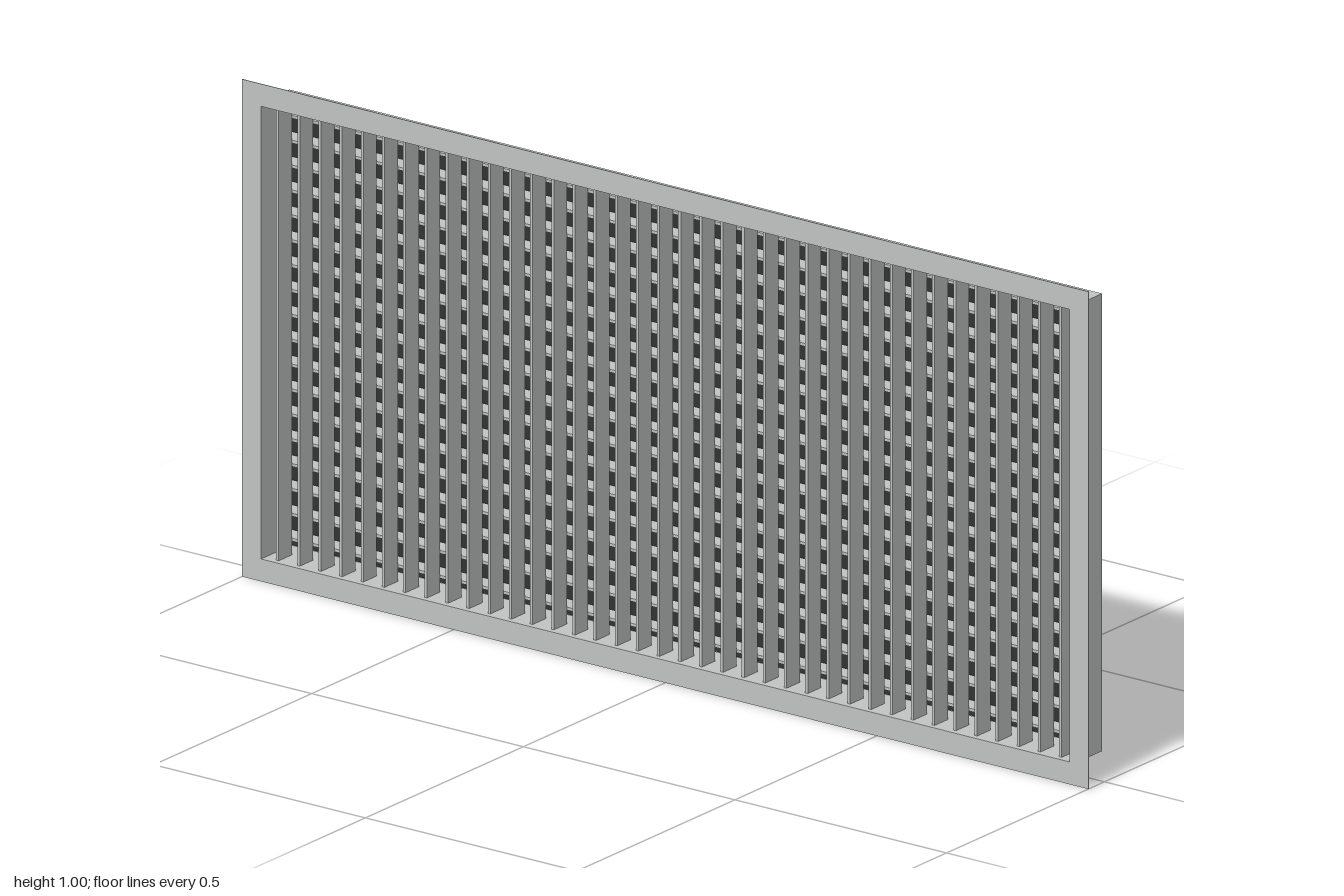
import * as THREE from 'three';

export function createModel() {
  const model = new THREE.Group();
  const metal = new THREE.MeshStandardMaterial({ color: 0xc0c4c2 });
  metal.name = 'light grey metal';
  const dark = new THREE.MeshStandardMaterial({ color: 0x333333 });
  dark.name = 'dark backing';

  const add = (name, geometry, material, x, y, z, parent = model) => {
    const mesh = new THREE.Mesh(geometry, material);
    mesh.name = name;
    mesh.position.set(x, y, z);
    parent.add(mesh);
    return mesh;
  };

  // Rectangular ring centred on the origin, extruded towards +z
  const ring = (w, h, innerW, innerH, depth) => {
    const rect = (path, a, b) => path.moveTo(-a / 2, -b / 2).lineTo(a / 2, -b / 2)
      .lineTo(a / 2, b / 2).lineTo(-a / 2, b / 2).closePath();
    const shape = rect(new THREE.Shape(), w, h);
    shape.holes.push(rect(new THREE.Path(), innerW, innerH));
    return new THREE.ExtrudeGeometry(shape, { depth, bevelEnabled: false });
  };

  // Front flange and the duct collar behind it
  add('flange', ring(2, 1, 1.91, 0.91, 0.002), metal, 0, 0.5, 0.049);
  add('collar', ring(1.92, 0.92, 1.91, 0.91, 0.095), metal, 0, 0.5, -0.046);

  // Upright vanes in front
  const uprightVanes = new THREE.Group();
  uprightVanes.name = 'uprightVanes';
  model.add(uprightVanes);
  const upright = new THREE.BoxGeometry(0.006, 0.91, 0.042);
  for (let i = 0; i < 38; i++) {
    add('uprightVane', upright, metal, -0.925 + i * 0.05, 0.5, 0.018, uprightVanes);
  }

  // Level vanes behind them
  const levelVanes = new THREE.Group();
  levelVanes.name = 'levelVanes';
  model.add(levelVanes);
  const level = new THREE.BoxGeometry(1.91, 0.006, 0.039);
  for (let i = 0; i < 18; i++) {
    add('levelVane', level, metal, 0, 0.075 + i * 0.05, -0.024, levelVanes);
  }

  // Dark sheet closing the back, set just off the collar
  add('backSheet', new THREE.BoxGeometry(1.912, 0.912, 0.002), dark, 0, 0.5, -0.05);

  return model;
}
